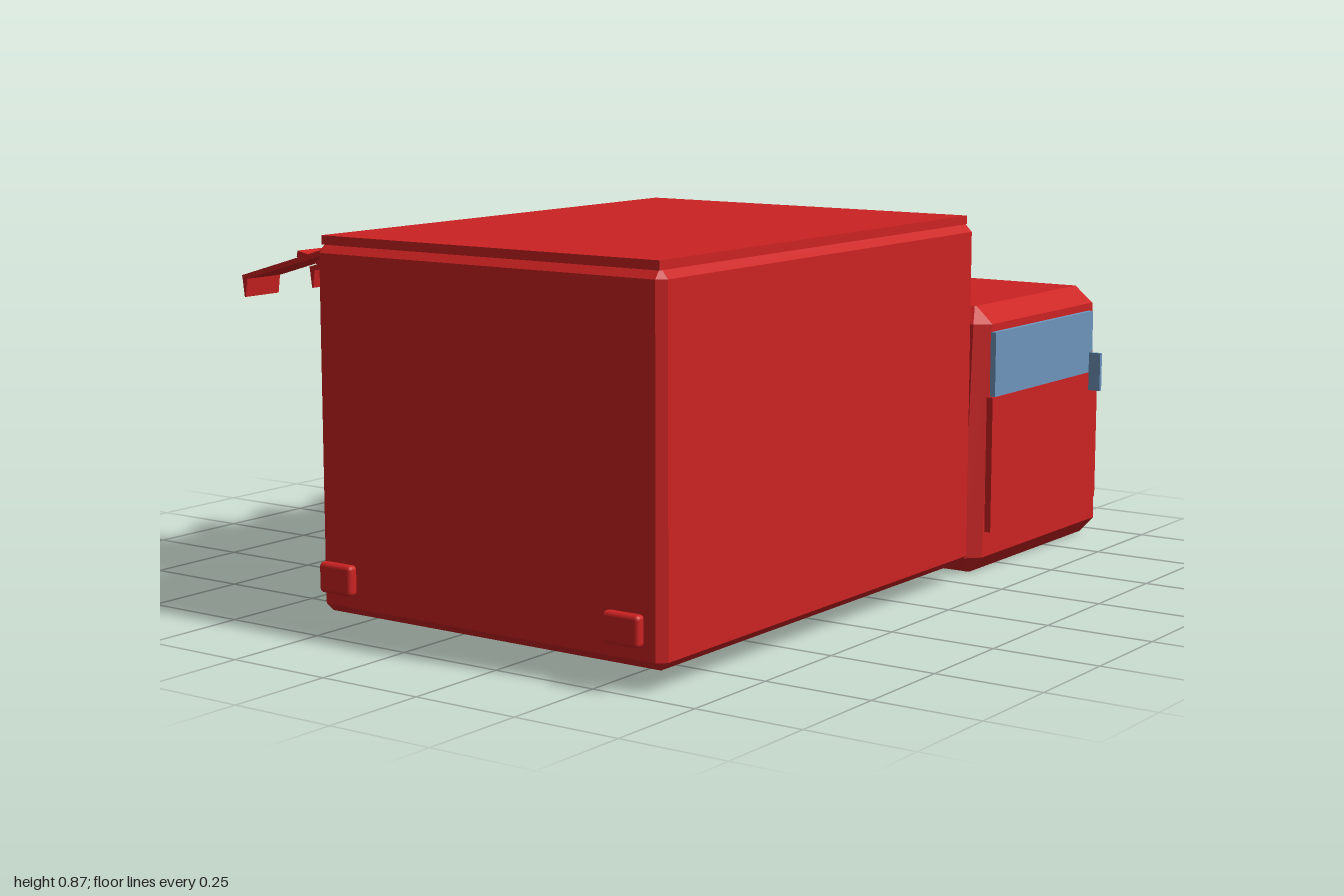
import * as THREE from 'three';
import { RoundedBoxGeometry } from 'three/addons/geometries/RoundedBoxGeometry.js';

const paint = (name, color) => {
  const m = new THREE.MeshStandardMaterial({ color });
  m.name = name;
  return m;
};

// Loft of chamfered rectangles; each level is [y, x0, x1, z0, z1, chamfer]
function loft(levels) {
  const rings = levels.map(([y, x0, x1, z0, z1, c]) => [
    [x0 + c, y, z1], [x1 - c, y, z1], [x1, y, z1 - c], [x1, y, z0 + c],
    [x1 - c, y, z0], [x0 + c, y, z0], [x0, y, z0 + c], [x0, y, z1 - c],
  ]);
  const pos = [];
  const tri = (...pts) => pts.forEach((p) => pos.push(...p));
  for (let r = 0; r < rings.length - 1; r++) {
    const a = rings[r], b = rings[r + 1];
    for (let i = 0; i < 8; i++) {
      const j = (i + 1) % 8;
      tri(a[i], a[j], b[j]);
      tri(a[i], b[j], b[i]);
    }
  }
  const top = rings[rings.length - 1], low = rings[0];
  for (let i = 1; i < 7; i++) {
    tri(top[0], top[i], top[i + 1]);
    tri(low[0], low[i + 1], low[i]);
  }
  const g = new THREE.BufferGeometry();
  g.setAttribute('position', new THREE.Float32BufferAttribute(pos, 3));
  g.computeVertexNormals();
  return g;
}

export function createModel() {
  const model = new THREE.Group();
  model.name = 'foodTruck';
  const red = paint('red paint', 0xcc2222);
  const glass = paint('blue glass', 0x6f94bb);
  const steel = paint('grey steel', 0x666a6a);
  const lens = paint('lamp lens', 0x858585);
  const cx = 0.185;

  const add = (name, geo, mat, x = 0, y = 0, z = 0) => {
    const m = new THREE.Mesh(geo, mat);
    m.name = name;
    m.position.set(x, y, z);
    model.add(m);
    return m;
  };
  const box = (name, mat, w, h, d, x, y, z) => add(name, new THREE.BoxGeometry(w, h, d), mat, x, y, z);
  // Bar spanning two points in the x-y plane
  const bar = (name, mat, [xa, ya], [xb, yb], thick, depth, z) => {
    const m = box(name, mat, Math.hypot(xb - xa, yb - ya), thick, depth, (xa + xb) / 2, (ya + yb) / 2, z);
    m.rotation.z = Math.atan2(yb - ya, xb - xa);
    return m;
  };

  // Cargo body and roof slab
  add('cargoBody', loft([
    [0.045, -0.257, 0.627, -0.267, 0.942, 0.002],
    [0.063, -0.275, 0.645, -0.285, 0.96, 0.018],
    [0.83, -0.275, 0.645, -0.285, 0.96, 0.018],
    [0.85, -0.257, 0.627, -0.267, 0.942, 0.002],
  ]), red);
  box('roofSlab', red, 0.89, 0.02, 1.22, cx, 0.857, 0.34);

  // Cab, leaning inward at front and back
  add('cab', loft([
    [0, -0.228, 0.598, -0.952, -0.366, 0.003],
    [0.04, -0.264, 0.634, -0.987, -0.33, 0.033],
    [0.6, -0.264, 0.634, -0.953, -0.362, 0.033],
    [0.64, -0.217, 0.587, -0.922, -0.398, 0.003],
  ]), red);

  // Windscreen
  const screen = box('windscreen', glass, 0.777, 0.265, 0.012, cx, 0.471, -0.97);
  screen.rotation.x = 0.08;

  for (const s of [-1, 1]) {
    // Doors, side windows and mirrors
    box('door', red, 0.016, 0.325, 0.55, cx + s * 0.466, 0.268, -0.632);
    box('sideWindow', glass, 0.014, 0.155, 0.508, cx + s * 0.466, 0.507, -0.624);
    box('mirror', glass, 0.031, 0.095, 0.01, cx + s * 0.503, 0.438, -0.836);

    // Headlights
    const hx = cx + s * 0.309;
    const rim = add('headlightRim', new THREE.CylinderGeometry(0.06, 0.06, 0.02, 24), steel, hx, 0.14, -0.985);
    const lamp = add('headlightLens', new THREE.CylinderGeometry(0.049, 0.049, 0.006, 24), lens, hx, 0.14, -0.995);
    rim.rotation.x = lamp.rotation.x = -Math.PI / 2 + 0.06;

    // Tail lamps
    add('tailLamp', new RoundedBoxGeometry(0.092, 0.068, 0.026, 2, 0.01), red, cx + s * 0.382, 0.131, 0.987);

    // Awning struts and their wall brackets
    const z = 0.238 + s * 0.39;
    bar('awningStrut', steel, [-0.305, 0.345], [-0.54, 0.772], 0.013, 0.013, z);
    add('strutBracket', loft([
      [0.3, -0.327, -0.298, z - 0.016, z + 0.016, 0.002],
      [0.395, -0.322, -0.303, z - 0.012, z + 0.012, 0.002],
    ]), red);
  }

  // Awning support panel
  bar('awningPanel', red, [-0.282, 0.72], [-0.597, 0.784], 0.015, 0.872, 0.237);

  // Awning slats with tapered valances
  for (let i = 0; i < 5; i++) {
    const z = -0.21 + i * 0.2245;
    bar('awningSlat', red, [-0.293, 0.848], [-0.705, 0.728], 0.012, 0.108, z);
    add('awningValance', loft([
      [0.684, -0.7, -0.695, z - 0.054, z + 0.054, 0.001],
      [0.728, -0.706, -0.689, z - 0.054, z + 0.054, 0.001],
    ]), red);
  }
  return model;
}
